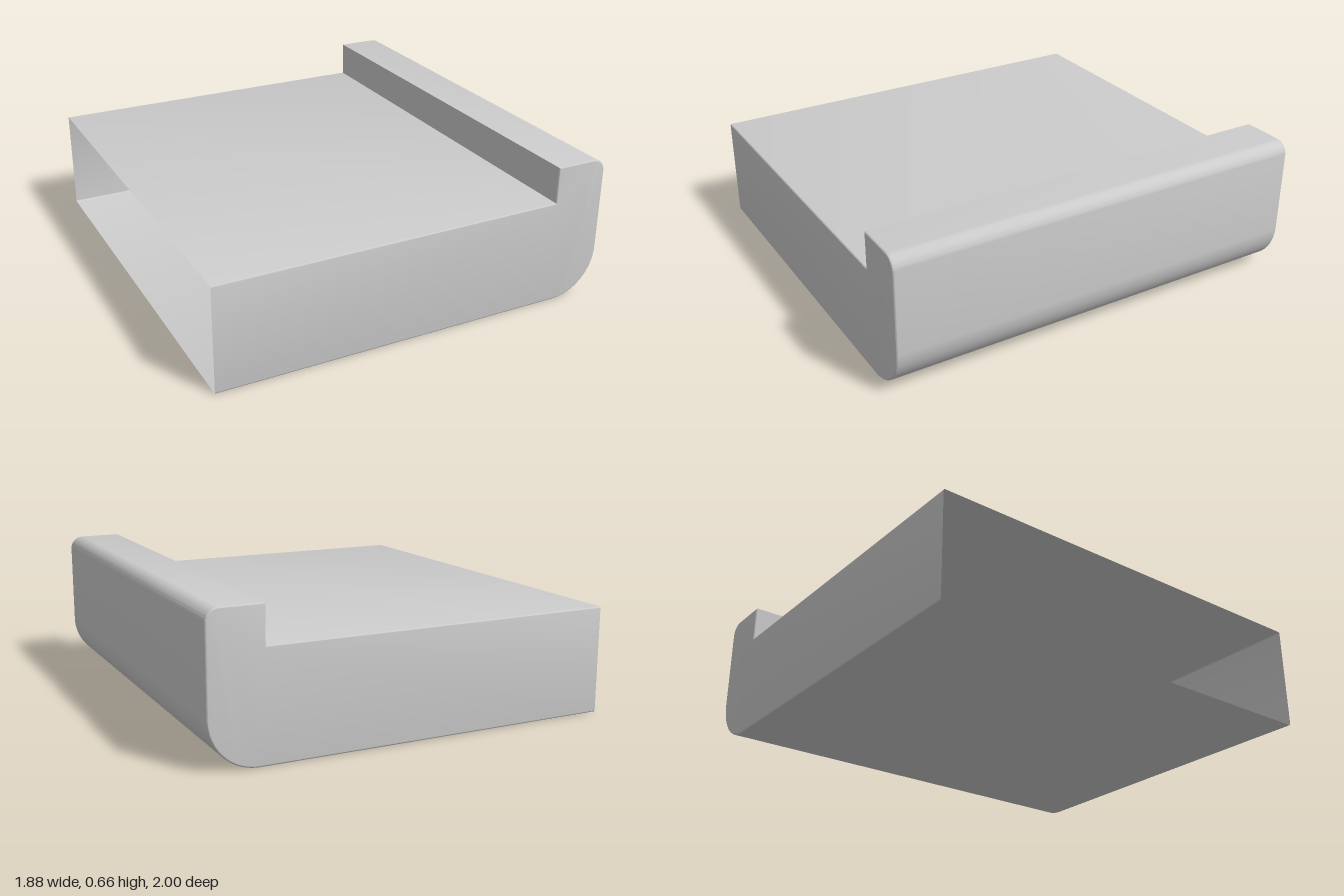
import * as THREE from 'three';
import { toCreasedNormals } from 'three/addons/utils/BufferGeometryUtils.js';

const HALF = 0.94;   // half width in x
const EDGE = 0.007;  // small rounding of the side edges

// Side profile: flat tread with a raised nosing lip at +x
function profile() {
  const s = new THREE.Shape();
  s.moveTo(-1, 0);
  s.lineTo(HALF - 0.22, 0);
  s.absarc(HALF - 0.22, 0.22, 0.22, -Math.PI / 2, 0, false);
  s.lineTo(HALF, 0.60);
  s.absarc(HALF - 0.06, 0.60, 0.06, 0, Math.PI / 2, false);
  s.lineTo(0.69, 0.66);
  s.lineTo(0.69, 0.49);
  s.lineTo(-1, 0.49);
  s.closePath();
  return s;
}

// Remove the wall at the -x end and trim the shell there, leaving it open
function openEnd(geometry) {
  const p = geometry.getAttribute('position');
  const kept = [];
  for (let i = 0; i < p.count; i += 3) {
    if ([0, 1, 2].every(k => p.getX(i + k) < -0.95)) continue;
    for (let k = 0; k < 3; k++) {
      kept.push(Math.max(p.getX(i + k), -HALF), p.getY(i + k), p.getZ(i + k));
    }
  }
  const g = new THREE.BufferGeometry();
  g.setAttribute('position', new THREE.Float32BufferAttribute(kept, 3));
  return toCreasedNormals(g, 0.6);
}

export function createModel() {
  const group = new THREE.Group();
  group.name = 'stepBlock';

  const solid = new THREE.ExtrudeGeometry(profile(), {
    depth: 2 - 2 * EDGE,
    curveSegments: 16,
    bevelEnabled: true,
    bevelThickness: EDGE,
    bevelSize: EDGE,
    bevelOffset: -EDGE,
    bevelSegments: 3,
  });
  solid.translate(0, 0, -1 + EDGE);

  // Hollow thin shell, open at the -x end
  const shell = new THREE.Mesh(
    openEnd(solid),
    new THREE.MeshStandardMaterial({ color: 0xcccccc, side: THREE.DoubleSide })
  );
  shell.name = 'lippedShell';
  group.add(shell);
  return group;
}
